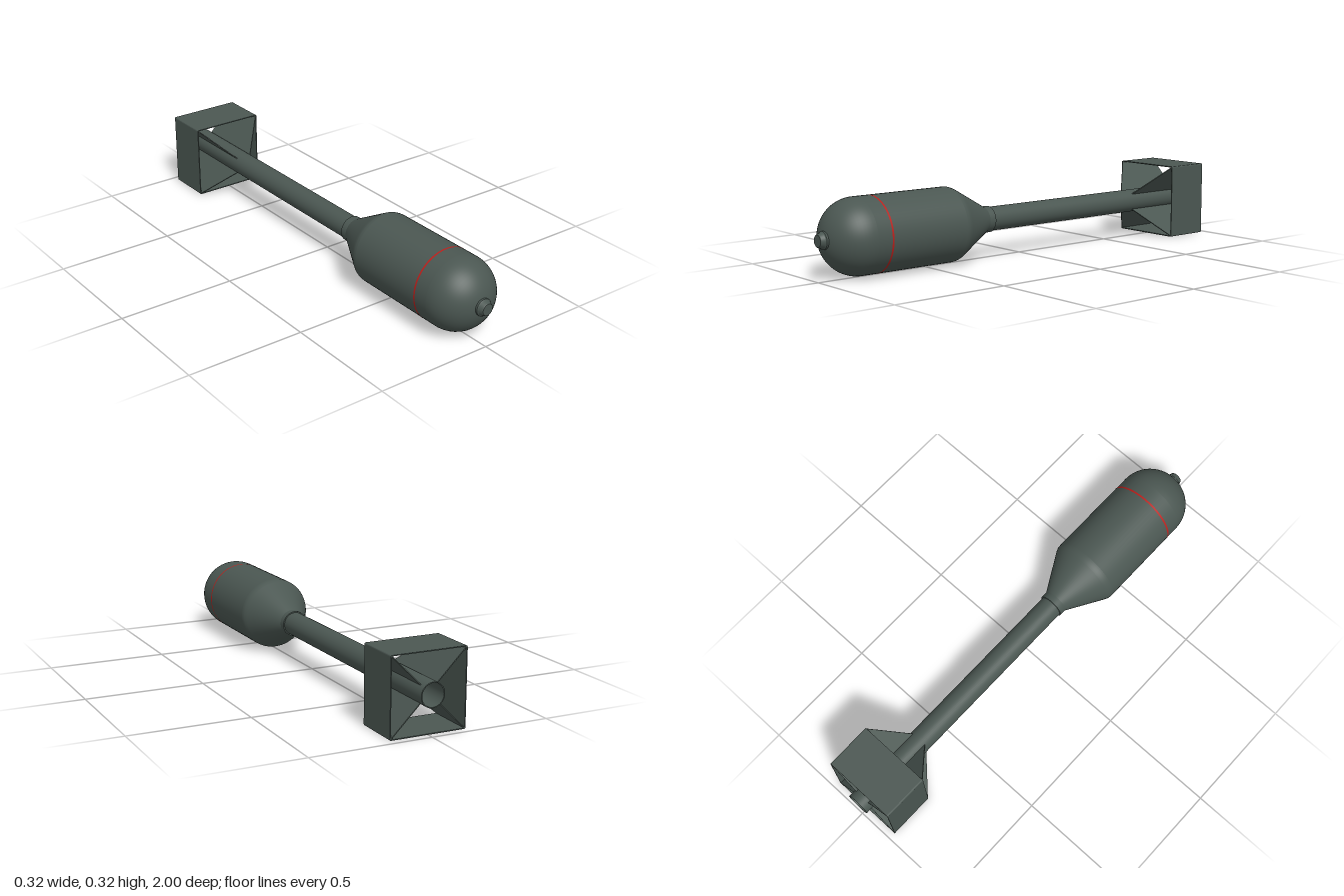
import * as THREE from 'three';

const CY = 0.161; // height of the long axis
const R = 0.155; // body radius
const TUBE = 0.05; // tail tube radius
const HALF = 0.16; // half width of the box tail
const FRONT = -0.77, REAR = -0.97; // box tail along z
const WALL = 0.004;

export function createModel() {
  const model = new THREE.Group();
  const paint = new THREE.MeshStandardMaterial({ color: 0x4b5752 });
  paint.name = 'greyGreenPaint';
  const red = new THREE.MeshStandardMaterial({ color: 0xb8201c });
  red.name = 'redStripe';

  const add = (name, geometry, material = paint, parent = model) => {
    const mesh = new THREE.Mesh(geometry, material);
    mesh.name = name;
    parent.add(mesh);
    return mesh;
  };

  // Turned parts: [radius, z] points; every profile is one smooth surface
  const turned = (name, profiles, material = paint) => {
    const part = new THREE.Group();
    part.name = name;
    model.add(part);
    profiles.forEach((points, i) => {
      const g = new THREE.LatheGeometry(points.map(([r, z]) => new THREE.Vector2(r, z)), 64);
      g.rotateX(Math.PI / 2).translate(0, CY, 0);
      add(name + 'Surface' + (i + 1), g, material, part);
    });
  };

  // Body: rear cone, cylinder, rounded nose
  const nose = [];
  for (let i = 0; i <= 16; i++) {
    const a = (i / 16) * Math.PI / 2;
    nose.push([R * Math.cos(a), 0.825 + 0.15 * Math.sin(a)]);
  }
  turned('body', [
    [[0.055, 0.2], [0.146, 0.365]],
    [[0.146, 0.365], [0.151, 0.375], [0.154, 0.384], [R, 0.395]],
    [[R, 0.395], [R, 0.825]],
    nose,
  ]);
  turned('noseStripe', [[[R + 0.0008, 0.754], [R + 0.0008, 0.762]]], red);

  // Nose fuse
  turned('fuse', [
    [[0.036, 0.955], [0.036, 0.979]],
    [[0.036, 0.979], [0.032, 0.982]],
    [[0.032, 0.982], [0.026, 0.998]],
    [[0.026, 0.998], [0.024, 1]],
    [[0.024, 1], [0, 1]],
  ]);

  // Collar between cone and tail tube
  turned('collar', [
    [[TUBE, 0.17], [0.055, 0.17]],
    [[0.055, 0.17], [0.055, 0.2]],
  ]);

  // Tail tube, hollow at the rear
  turned('tailTube', [
    [[TUBE, -1], [TUBE, 0.18]],
    [[TUBE - 0.004, -1], [TUBE, -1]],
    [[TUBE - 0.004, 0.16], [TUBE - 0.004, -1]],
    [[0, 0.16], [TUBE - 0.004, 0.16]].reverse(),
  ]);

  // Square box tail, open at both ends
  const square = (path, h, r) => {
    path.moveTo(-h + r, -h);
    path.lineTo(h - r, -h).quadraticCurveTo(h, -h, h, -h + r);
    path.lineTo(h, h - r).quadraticCurveTo(h, h, h - r, h);
    path.lineTo(-h + r, h).quadraticCurveTo(-h, h, -h, h - r);
    path.lineTo(-h, -h + r).quadraticCurveTo(-h, -h, -h + r, -h);
    return path;
  };
  const box = square(new THREE.Shape(), HALF, 0.006);
  box.holes.push(square(new THREE.Path(), HALF - WALL, 0.004));
  const boxGeo = new THREE.ExtrudeGeometry(box, { depth: FRONT - REAR, bevelEnabled: false, curveSegments: 3 });
  add('boxTail', boxGeo.translate(0, CY, REAR));

  // Four diagonal fins from the tube to the box corners
  const tip = HALF * Math.SQRT2 - 0.005;
  const fin = new THREE.Shape([
    [TUBE - 0.002, REAR], [tip, REAR], [tip, FRONT], [TUBE - 0.002, -0.64],
  ].map(([r, z]) => new THREE.Vector2(r, z)));
  for (let i = 0; i < 4; i++) {
    const g = new THREE.ExtrudeGeometry(fin, { depth: WALL, bevelEnabled: false });
    g.translate(0, 0, -WALL / 2).rotateX(Math.PI / 2);
    g.rotateZ(Math.PI / 4 + i * Math.PI / 2).translate(0, CY, 0);
    add('fin' + (i + 1), g);
  }

  return model;
}
